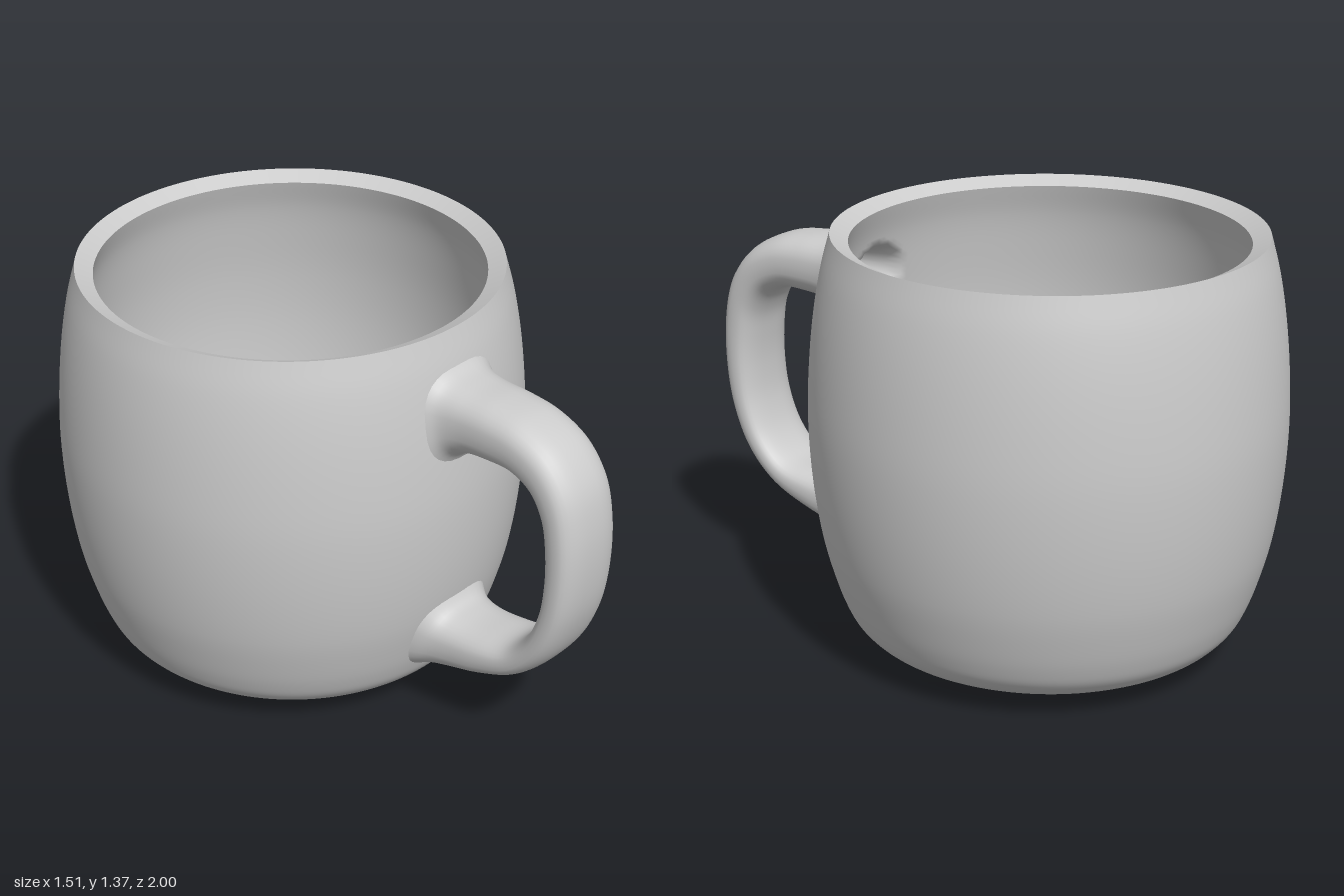
import * as THREE from 'three';
import { mergeVertices } from 'three/addons/utils/BufferGeometryUtils.js';

const CUP_Z = -0.245; // the cup sits behind the origin, the handle reaches +z
const grey = new THREE.MeshStandardMaterial({ color: 0xcccccc });

// Smooth curve through [a, b] points
const spline = (pts) => new THREE.CatmullRomCurve3(pts.map(([a, b]) => new THREE.Vector3(a, b, 0)));

// Revolved surface with its seam at the back
function revolve(profile, steps) {
  const pts = spline(profile).getPoints(steps).map((p) => new THREE.Vector2(Math.max(p.x, 0), p.y));
  return new THREE.LatheGeometry(pts, 160, Math.PI, Math.PI * 2).translate(0, 0, CUP_Z);
}

function part(name, geometry) {
  const mesh = new THREE.Mesh(geometry, grey);
  mesh.name = name;
  return mesh;
}

// Inner wall, drawn out into the hollow handle at both joints
function innerWall() {
  let geo = revolve([
    [0.618, 1.345], [0.65, 1.24], [0.675, 1.1], [0.693, 0.95], [0.7, 0.78], [0.69, 0.58], [0.667, 0.41],
    [0.635, 0.28], [0.605, 0.2], [0.56, 0.14], [0.48, 0.11], [0.3, 0.085], [0, 0.065],
  ], 96);
  const pos = geo.attributes.position;
  for (let i = 0; i < pos.count; i++) {
    const x = pos.getX(i), y = pos.getY(i), z = pos.getZ(i);
    if (z < 0.2) continue;
    for (const jointY of [1.12, 0.315]) {
      const d = Math.hypot(x, 1.35 * (y - jointY));
      const pull = 1 - THREE.MathUtils.smoothstep(d, 0.05, 0.13);
      if (pull > 0) pos.setZ(i, z + 0.23 * pull);
    }
  }
  geo.deleteAttribute('uv');
  geo.deleteAttribute('normal');
  geo = mergeVertices(geo, 1e-5);
  geo.computeVertexNormals();
  return geo;
}

// Handle swept between its outer and inner edge lines, flared at both joints
function handleGeometry() {
  // each row: outer edge z, y, inner edge z, y, half width
  const rows = [
    [0.43, 1.29, 0.48, 0.92, 0.17], [0.48, 1.245, 0.515, 0.985, 0.142], [0.55, 1.228, 0.57, 1.016, 0.13],
    [0.66, 1.222, 0.66, 1.028, 0.127], [0.77, 1.205, 0.75, 1.026, 0.126], [0.88, 1.15, 0.82, 0.99, 0.126],
    [0.96, 1.05, 0.86, 0.92, 0.126], [0.995, 0.92, 0.876, 0.83, 0.126], [1.0, 0.75, 0.88, 0.72, 0.126],
    [0.975, 0.59, 0.865, 0.6, 0.126], [0.91, 0.44, 0.82, 0.49, 0.126], [0.8, 0.325, 0.75, 0.42, 0.126],
    [0.65, 0.252, 0.65, 0.402, 0.127], [0.53, 0.215, 0.56, 0.402, 0.13], [0.46, 0.195, 0.505, 0.417, 0.142],
    [0.395, 0.165, 0.465, 0.47, 0.17],
  ];
  const outer = spline(rows.map((r) => [r[0], r[1]]));
  const inner = spline(rows.map((r) => [r[2], r[3]]));
  const width = spline(rows.map((r, i) => [i * 0.1, r[4]]));
  const rings = 90, sides = 32, verts = [], index = [];
  const round = (v) => Math.sign(v) * Math.abs(v) ** 0.78; // slightly squared oval
  for (let i = 0; i <= rings; i++) {
    const o = outer.getPoint(i / rings), n = inner.getPoint(i / rings), w = width.getPoint(i / rings).y;
    for (let j = 0; j < sides; j++) {
      const a = (j / sides) * Math.PI * 2;
      const s = round(Math.sin(a)) / 2;
      verts.push(w * round(Math.cos(a)), (o.y + n.y) / 2 + (o.y - n.y) * s, (o.x + n.x) / 2 + (o.x - n.x) * s);
      if (i === rings) continue;
      const p = i * sides + j, q = i * sides + ((j + 1) % sides);
      index.push(p, q, p + sides, q, q + sides, p + sides);
    }
  }
  const geo = new THREE.BufferGeometry();
  geo.setAttribute('position', new THREE.Float32BufferAttribute(verts, 3));
  geo.setIndex(index);
  geo.computeVertexNormals();
  return geo;
}

export function createModel() {
  const mug = new THREE.Group();
  mug.name = 'mug';

  // Barrel-shaped outside with a softly rounded base
  mug.add(part('outerWall', revolve([
    [0, 0], [0.2, 0.013], [0.4, 0.033], [0.5, 0.05], [0.58, 0.082], [0.63, 0.13], [0.66, 0.19], [0.69, 0.28],
    [0.72, 0.4], [0.745, 0.58], [0.755, 0.78], [0.748, 0.95], [0.73, 1.12], [0.705, 1.26], [0.675, 1.372],
  ], 70)));

  // Rim sloping gently inwards
  mug.add(part('rim', revolve([[0.675, 1.372], [0.618, 1.345]], 1)));
  mug.add(part('innerWall', innerWall()));
  mug.add(part('handle', handleGeometry()));
  return mug;
}
